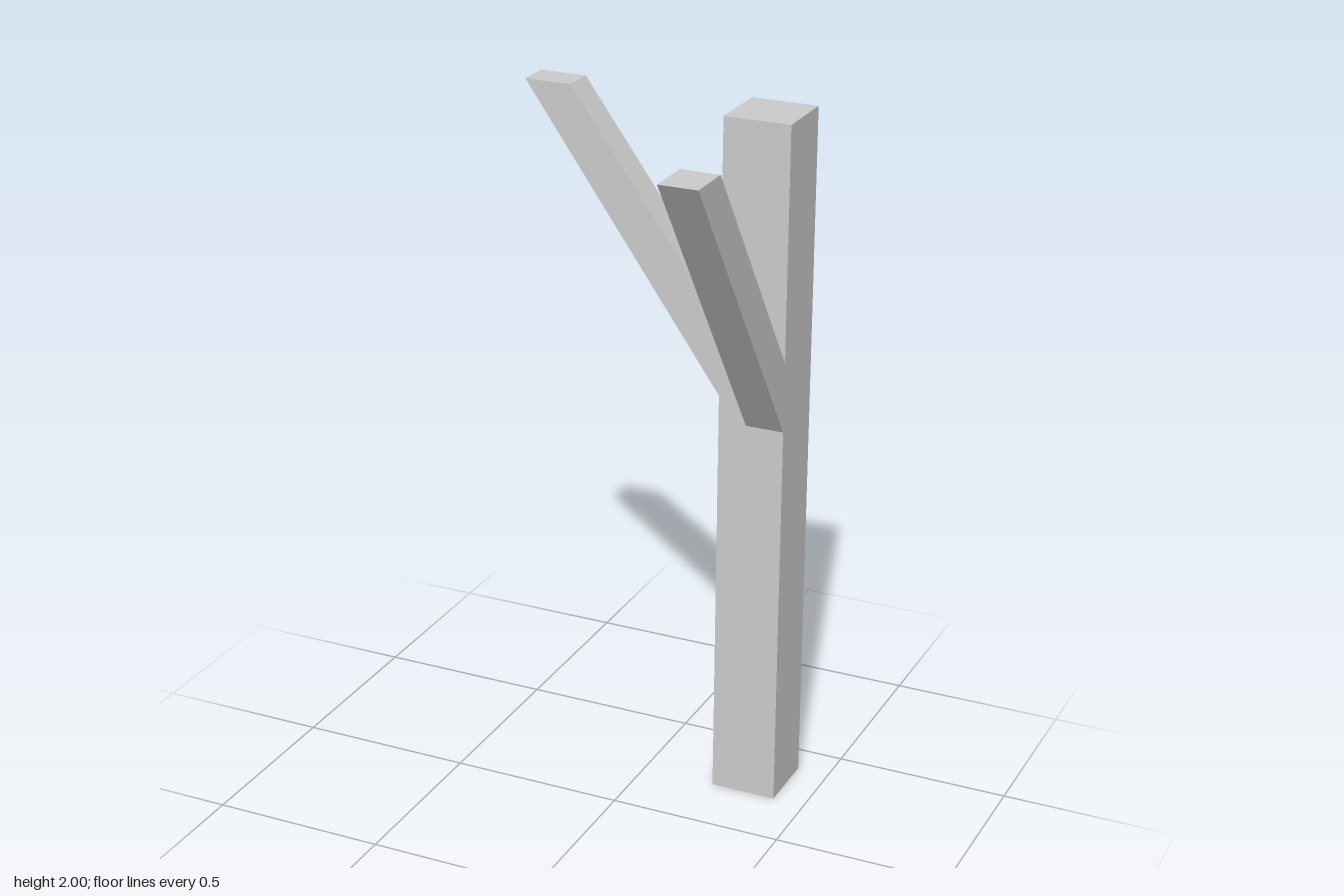
import * as THREE from 'three';

const material = new THREE.MeshStandardMaterial({ color: 0xcccccc, flatShading: true });

// Slanted bar with plumb-cut foot and level-cut top, drawn as a side profile
function braceGeometry(profile, depth) {
  const shape = new THREE.Shape(profile.map(([a, b]) => new THREE.Vector2(a, b)));
  return new THREE.ExtrudeGeometry(shape, { depth, bevelEnabled: false });
}

function addPart(group, name, geometry) {
  const mesh = new THREE.Mesh(geometry, material);
  mesh.name = name;
  group.add(mesh);
  return mesh;
}

export function createModel() {
  const group = new THREE.Group();
  group.name = 'cornerPostWithBraces';

  // Upright square post
  const post = addPart(group, 'post', new THREE.BoxGeometry(0.19, 2, 0.191));
  post.position.set(0.312, 1, -0.2995);

  // Brace rising sideways, flush with the back of the post
  const side = braceGeometry([[0.217, 1.115], [0.217, 1.325], [-0.273, 2], [-0.409, 2]], 0.096);
  side.translate(0, 0, -0.395);
  addPart(group, 'sideBrace', side);

  // Brace rising forward, flush with the outer side of the post
  const front = braceGeometry([[-0.204, 1.14], [0.391, 2], [0.256, 2], [-0.204, 1.34]], 0.109);
  front.rotateY(-Math.PI / 2);
  front.translate(0.407, 0, 0);
  addPart(group, 'frontBrace', front);

  return group;
}
